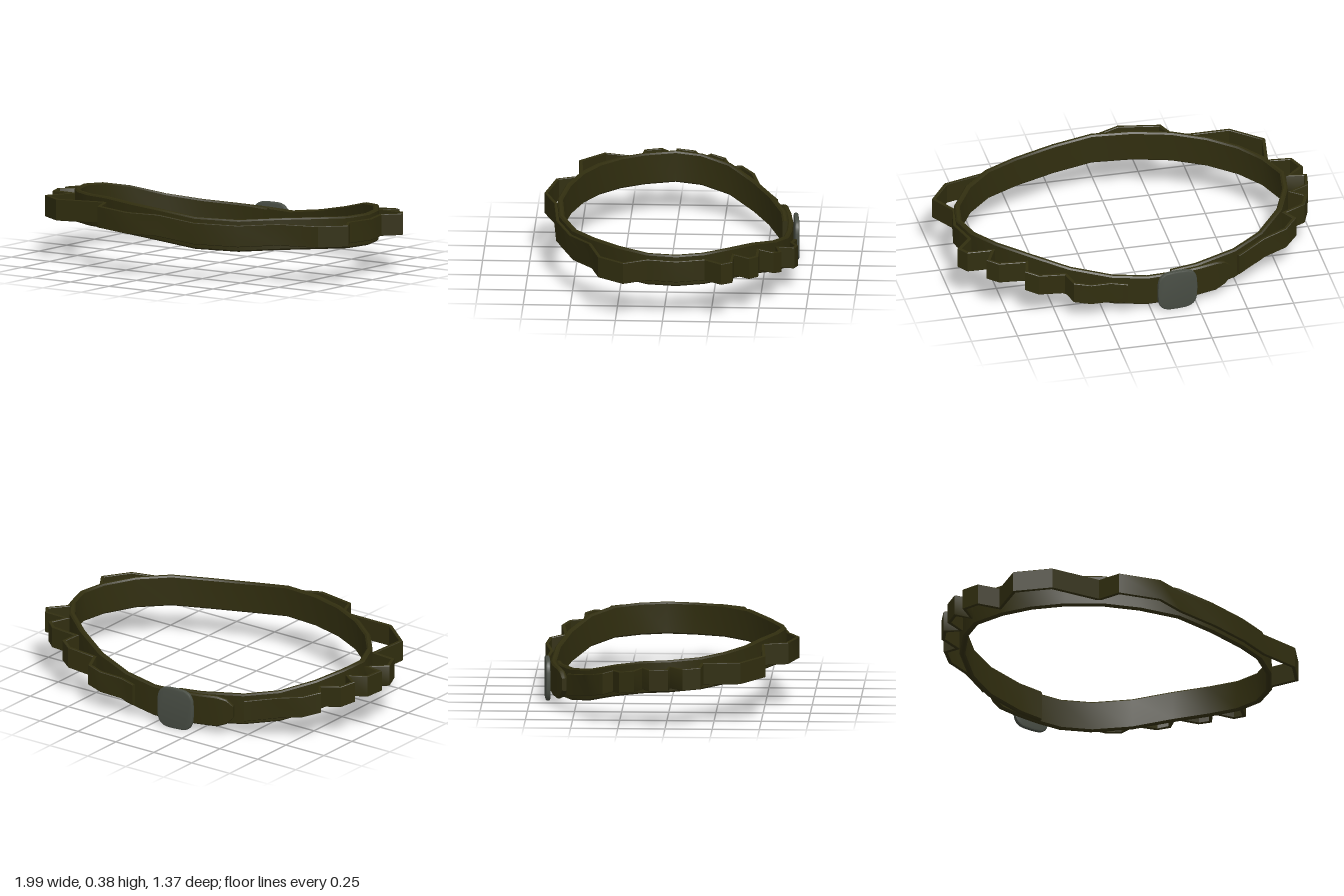
import * as THREE from 'three';
import { toCreasedNormals } from 'three/addons/utils/BufferGeometryUtils.js';

// Belt path: [x, z, centre height, height scale], from tail tip round to the hidden inner end
const BELT = [
  [-0.455, -0.575, 0.135, 0.4], [-0.42, -0.59, 0.133, 0.82], [-0.37, -0.61, 0.13, 1], [-0.26, -0.633, 0.125],
  [-0.12, -0.65, 0.12], [0.02, -0.65, 0.115], [0.21, -0.64, 0.14], [0.43, -0.585, 0.185],
  [0.63, -0.485, 0.235], [0.79, -0.36, 0.255], [0.89, -0.22, 0.255], [0.935, -0.07, 0.255],
  [0.91, 0.09, 0.255], [0.81, 0.26, 0.262], [0.67, 0.4, 0.262], [0.49, 0.51, 0.25],
  [0.26, 0.59, 0.255], [0.04, 0.61, 0.28], [-0.18, 0.575, 0.29], [-0.38, 0.51, 0.295],
  [-0.56, 0.43, 0.285], [-0.71, 0.32, 0.275], [-0.82, 0.19, 0.265], [-0.89, 0.02, 0.26],
  [-0.87, -0.13, 0.25], [-0.8, -0.29, 0.22], [-0.66, -0.43, 0.172], [-0.49, -0.53, 0.145],
  [-0.26, -0.608, 0.13], [-0.12, -0.622, 0.12],
];

// Webbing path [x, z]: bulges away from the belt to form each carrying loop
const WEBBING = [
  [0.13, -0.665], [0.22, -0.65], [0.335, -0.68], [0.42, -0.665], [0.45, -0.585],
  [0.6, -0.605], [0.66, -0.57], [0.64, -0.49], [0.79, -0.49], [0.84, -0.45], [0.795, -0.365],
  [0.93, -0.36], [0.965, -0.31], [0.89, -0.22], [0.935, -0.07], [0.905, 0.085],
  [0.985, 0.21], [0.89, 0.34], [0.67, 0.4], [0.49, 0.51], [0.26, 0.59], [0.04, 0.61],
  [-0.12, 0.67], [-0.34, 0.62], [-0.39, 0.495], [-0.69, 0.512], [-0.85, 0.39], [-0.82, 0.19],
  [-0.95, 0.18], [-0.985, 0.095], [-0.9, 0.02], [-0.99, 0.01], [-0.975, -0.08], [-0.88, -0.125],
  [-0.95, -0.17], [-0.92, -0.24], [-0.81, -0.28], [-0.85, -0.335], [-0.785, -0.4],
  [-0.66, -0.435], [-0.5, -0.535],
];

// Height of the belt centre in the direction of (x, z)
const clock = (x, z) => (Math.atan2(x, -z) + Math.PI * 2) % (Math.PI * 2);
const TRACK = BELT.slice(5, 29).map(([x, z, y]) => [clock(x, z), y]);
function beltHeight(x, z) {
  const a = clock(x, z);
  for (let i = 1; i < TRACK.length; i++) {
    const [a0, y0] = TRACK[i - 1], [a1, y1] = TRACK[i];
    if (a <= a1) return THREE.MathUtils.lerp(y0, y1, Math.max(0, (a - a0) / (a1 - a0)));
  }
  return TRACK[TRACK.length - 1][1];
}

// Sweeps an upright chamfered strap between offsets inner and outer along a path
function strap(path, inner, outer, height, chamfer) {
  const h = height / 2, c = chamfer;
  const profile = [
    [inner + c, -h], [outer - c, -h], [outer, -h + c], [outer, h - c],
    [outer - c, h], [inner + c, h], [inner, h - c], [inner, -h + c],
  ];
  const pts = path.map(([x, z]) => new THREE.Vector2(x, z));
  const rings = path.map(([x, z, y, scale = 1], i) => {
    const before = pts[i].clone().sub(pts[Math.max(i - 1, 0)]).normalize();
    const after = pts[Math.min(i + 1, pts.length - 1)].clone().sub(pts[i]).normalize();
    const t = before.clone().add(after).normalize();
    const along = i ? before : after;
    const miter = Math.min(1.5, 1 / Math.max(0.1, t.dot(along)));
    return profile.map(([u, v]) => [x + t.y * u * miter, y + v * scale, z - t.x * u * miter]);
  });
  const out = [];
  const tri = (a, b, d) => out.push(...a, ...b, ...d);
  const n = profile.length;
  for (let i = 0; i < rings.length - 1; i++) {
    const p = rings[i], q = rings[i + 1];
    for (let j = 0; j < n; j++) {
      const k = (j + 1) % n;
      tri(p[j], p[k], q[k]);
      tri(p[j], q[k], q[j]);
    }
  }
  const first = rings[0], last = rings[rings.length - 1];
  for (let j = 1; j < n - 1; j++) {
    tri(first[0], first[j + 1], first[j]);
    tri(last[0], last[j], last[j + 1]);
  }
  const geometry = new THREE.BufferGeometry();
  geometry.setAttribute('position', new THREE.Float32BufferAttribute(out, 3));
  return toCreasedNormals(geometry, 0.6);
}

// Rounded-square buckle plate
function bucklePlate(halfWidth, halfHeight, depth, bevel) {
  const points = [];
  for (let i = 0; i < 32; i++) {
    const a = (i / 32) * Math.PI * 2, c = Math.cos(a), s = Math.sin(a);
    points.push(new THREE.Vector2(
      Math.sign(c) * Math.abs(c) ** 0.55 * (halfWidth - bevel),
      Math.sign(s) * Math.abs(s) ** 0.55 * (halfHeight - bevel),
    ));
  }
  const geometry = new THREE.ExtrudeGeometry(new THREE.Shape(points), {
    depth: depth - 2 * bevel, bevelEnabled: true, bevelThickness: bevel, bevelSize: bevel, bevelSegments: 2,
  });
  geometry.translate(0, 0, bevel - depth / 2);
  return toCreasedNormals(geometry, 0.6);
}

export function createModel() {
  const model = new THREE.Group();
  model.name = 'utilityBelt';
  const olive = new THREE.MeshStandardMaterial({ color: 0x312e0f });
  olive.name = 'dark olive fabric';
  const grey = new THREE.MeshStandardMaterial({ color: 0x484d44 });
  grey.name = 'dull grey metal';

  const add = (name, geometry, material) => {
    const mesh = new THREE.Mesh(geometry, material);
    mesh.name = name;
    model.add(mesh);
    return mesh;
  };

  // Main band, overlapping itself behind the buckle
  add('beltBand', strap(BELT, -0.038, -0.008, 0.17, 0.008), olive);

  // Outer webbing with its row of loops
  const webbing = WEBBING.map(([x, z]) => [x, z, beltHeight(x, z)]);
  add('loopWebbing', strap(webbing, -0.01, 0.008, 0.115, 0.003), olive);

  // Buckle on the back
  const buckle = add('buckle', bucklePlate(0.11, 0.115, 0.024, 0.008), grey);
  buckle.position.set(-0.14, 0.115, -0.658);
  buckle.rotation.y = 0.09;

  return model;
}
